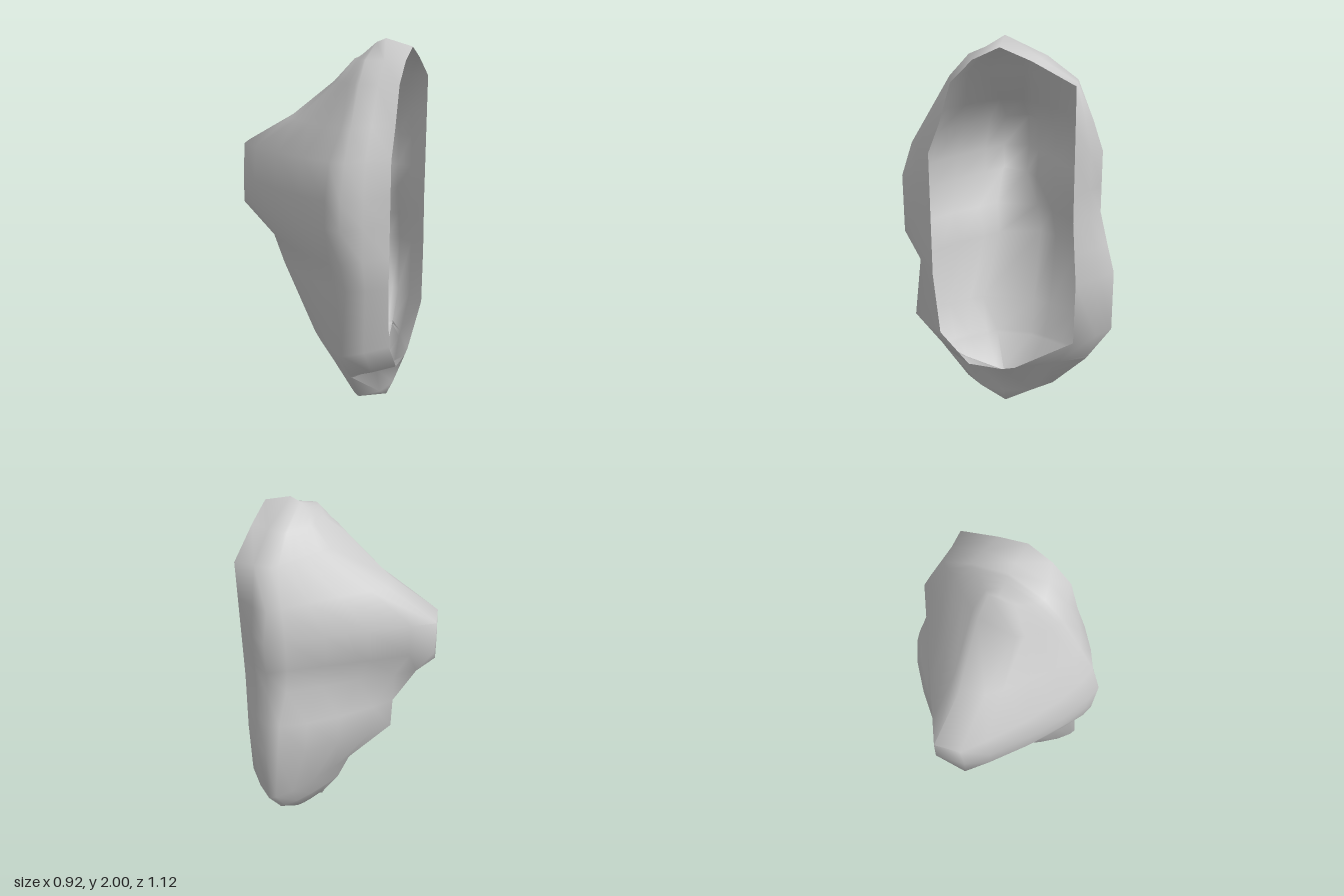
import * as THREE from 'three';
import { toCreasedNormals } from 'three/addons/utils/BufferGeometryUtils.js';

// Level C-shaped sections, top to bottom:
// y, front rim z, front widest z, nose front x z, nose back x z, back widest z, back rim z
const LEVELS = [
  [1.9, 0.13, 0.19, 0.17, 0.05, 0.17, -0.05, -0.2, -0.15],
  [1.79, 0.24, 0.29, 0.09, 0.14, 0.09, -0.06, -0.35, -0.36],
  [1.59, 0.3, 0.41, -0.17, 0.12, -0.2, 0, -0.43, -0.36],
  [1.44, 0.36, 0.5, -0.43, 0.13, -0.46, 0, -0.48, -0.36],
  [1.26, 0.36, 0.56, -0.43, 0.15, -0.46, 0, -0.48, -0.36],
  [1.12, 0.36, 0.56, -0.43, 0.15, -0.37, 0, -0.48, -0.36],
  [0.95, 0.36, 0.56, -0.25, 0.16, -0.27, -0.08, -0.52, -0.37],
  [0.79, 0.36, 0.48, -0.2, 0.14, -0.27, -0.1, -0.56, -0.38],
  [0.46, 0.33, 0.52, -0.01, 0.2, -0.015, -0.1, -0.56, -0.375],
  [0.285, 0.18, 0.37, 0.05, 0.1, 0.05, -0.1, -0.44, -0.07],
  [0.27, 0, 0.36, 0.06, 0.1, 0.06, -0.1, -0.43, 0],
  [0.1, 0, 0.23, 0.155, 0.05, 0.155, -0.05, -0.25, 0],
];
const WIDE_X = 0.27;
const STEPS = [0, 0.12, 0.35, 0.6, 0.85, 1];

// One wall: rim, shoulder, then a curve from the widest line to the nose.
function wall(y, rim, wide, noseX, noseZ, power) {
  const rimX = Math.min(0.46, 0.36 + 0.37 * y);
  return [
    [rimX, y, rim],
    [0.36, y, 0.4 * rim + 0.6 * wide],
    ...STEPS.map((t) => [
      THREE.MathUtils.lerp(WIDE_X, noseX, t), y, THREE.MathUtils.lerp(wide, noseZ, t ** power),
    ]),
  ];
}

// The front wall bulges all the way up, the back wall only below the middle.
const level = ([y, rimF, wideF, xF, zF, xB, zB, wideB, rimB]) => [
  ...wall(y, rimF, wideF, xF, zF, 1.5),
  ...wall(y, rimB, wideB, xB, zB, y > 1 ? 1 : 1.5).reverse(),
];

// Ridge where both walls meet at z = 0, from the rim to the nose.
function ridge(rim, shoulder, wide, nose) {
  const side = [rim, shoulder, ...STEPS.map((t) => [
    THREE.MathUtils.lerp(wide[0], nose[0], t), THREE.MathUtils.lerp(wide[1], nose[1], t),
  ])].map(([x, y]) => [x, y, 0]);
  return [...side, ...[...side].reverse()];
}

export function createModel() {
  const group = new THREE.Group();
  const rows = [
    ridge([0.46, 1.96], [0.32, 2], [WIDE_X, 1.98], [0.18, 1.905]),
    ...LEVELS.map(level),
    ridge([0.38, 0.07], [0.36, 0.02], [WIDE_X, 0.01], [0.2, 0]),
  ];

  // Skin the levels; the +x side stays open.
  const n = rows[0].length, index = [];
  for (let r = 0; r < rows.length - 1; r++) {
    for (let i = 0; i < n - 1; i++) {
      const a = r * n + i, c = a + n;
      index.push(a, a + 1, c, a + 1, c + 1, c);
    }
  }
  const geometry = new THREE.BufferGeometry();
  geometry.setAttribute('position', new THREE.Float32BufferAttribute(rows.flat(2), 3));
  geometry.setIndex(index);

  const shell = new THREE.Mesh(
    toCreasedNormals(geometry, 1.3),
    new THREE.MeshStandardMaterial({ color: 0xcccccc, side: THREE.DoubleSide }),
  );
  shell.name = 'hollowRockShell';
  group.add(shell);
  return group;
}
